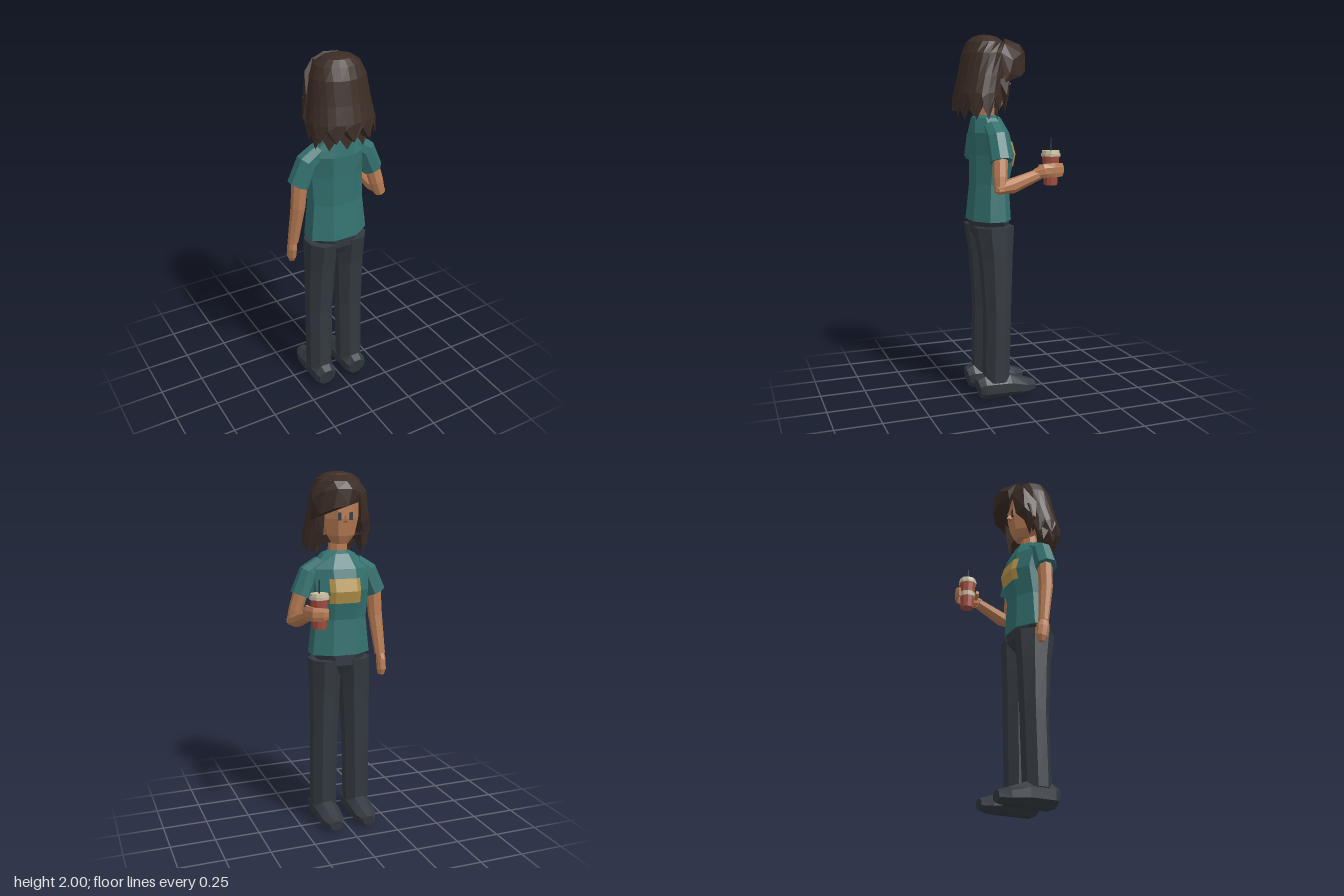
import * as THREE from 'three';
import { ConvexGeometry } from 'three/addons/geometries/ConvexGeometry.js';

const V = (x, y, z) => new THREE.Vector3(x, y, z);
const CX = -0.012; // body centre line

// Skin a list of point rows; optional wrap-around and end caps
function skin(rows, closed = true, caps = true) {
  const out = [], n = rows[0].length;
  const tri = (...ps) => ps.forEach((p) => out.push(p.x, p.y, p.z));
  for (let i = 0; i < rows.length - 1; i++) {
    for (let j = 0; j < (closed ? n : n - 1); j++) {
      const k = (j + 1) % n, a = rows[i], b = rows[i + 1];
      tri(a[j], a[k], b[k]);
      tri(a[j], b[k], b[j]);
    }
  }
  if (caps) {
    const lo = rows[0], hi = rows[rows.length - 1];
    for (let j = 1; j < n - 1; j++) {
      tri(lo[0], lo[j + 1], lo[j]);
      tri(hi[0], hi[j], hi[j + 1]);
    }
  }
  const g = new THREE.BufferGeometry();
  g.setAttribute('position', new THREE.Float32BufferAttribute(out, 3));
  g.computeVertexNormals();
  return g;
}

// Horizontal octagonal sections, bottom to top: [y, centreX, halfWidth, zFront, zBack]
function body(rows, n = 8) {
  const k = 1 / Math.cos(Math.PI / n);
  return skin(rows.map(([y, cx, rx, zf, zb]) => Array.from({ length: n }, (_, j) => {
    const a = ((j + 0.5) / n) * Math.PI * 2;
    return V(cx + rx * k * Math.sin(a), y, (zf + zb) / 2 + ((zb - zf) / 2) * k * Math.cos(a));
  })));
}

// Sections across a path: [x, y, z, radius along ref, radius across]
function limb(pts, ref, n = 8) {
  const c = pts.map((p) => V(p[0], p[1], p[2]));
  const k = 1 / Math.cos(Math.PI / n);
  return skin(pts.map((p, i) => {
    const d = c[Math.min(i + 1, c.length - 1)].clone().sub(c[Math.max(i - 1, 0)]).normalize();
    const u = ref.clone().addScaledVector(d, -ref.dot(d)).normalize();
    const v = d.clone().cross(u);
    return Array.from({ length: n }, (_, j) => {
      const a = ((j + 0.5) / n) * Math.PI * 2;
      return c[i].clone().addScaledVector(u, p[3] * k * Math.cos(a)).addScaledVector(v, p[4] * k * Math.sin(a));
    });
  }));
}

// Hair curtain with an open front and zigzag hem: [y, halfWidth, zFront, zBack, halfSweep, zigzag]
function curtain(rows, n, caps) {
  return skin(rows.map(([y, rx, zf, zb, sweep, zig = 0]) => Array.from({ length: n + 1 }, (_, j) => {
    const a = (j / n * 2 - 1) * sweep;
    return V(CX + rx * Math.sin(a), y + (j % 2 ? -zig : zig), (zf + zb) / 2 + ((zb - zf) / 2) * Math.cos(a));
  })), false, caps);
}

function faceted(g) {
  const f = g.index ? g.toNonIndexed() : g;
  f.computeVertexNormals();
  return f;
}

export function createModel() {
  const model = new THREE.Group();
  const mat = (name, color, side = THREE.FrontSide) => {
    const m = new THREE.MeshStandardMaterial({ color, side });
    m.name = name;
    return m;
  };
  const skinTone = mat('skin', 0xb97d55);
  const shirt = mat('teal shirt', 0x33716f);
  const trousers = mat('dark trousers', 0x333940);
  const hair = mat('brown hair', 0x3b2c25, THREE.DoubleSide);
  const red = mat('red cup', 0xa34d40);
  const cream = mat('cream lid', 0xc8bda0);
  const yellow = mat('yellow print', 0xb3924a, THREE.DoubleSide);
  const dark = mat('dark detail', 0x2c343c);
  const add = (name, geometry, material) => {
    const m = new THREE.Mesh(geometry, material);
    m.name = name;
    model.add(m);
    return m;
  };
  const X = V(1, 0, 0), Y = V(0, 1, 0), Z = V(0, 0, 1);

  // Legs and shoes
  for (const s of [-1, 1]) {
    const side = s < 0 ? 'right' : 'left';
    const at = (d) => CX + s * d;
    add(side + 'Leg', body([
      [0.1, at(0.102), 0.07, 0, 0.14], [0.5, at(0.097), 0.073, -0.01, 0.135],
      [0.8, at(0.09), 0.08, -0.02, 0.155], [0.97, at(0.086), 0.086, -0.03, 0.185],
    ]), trousers);
    add(side + 'Shoe', limb([
      [at(0.102), 0.06, 0.175, 0.052, 0.052], [at(0.102), 0.066, 0.145, 0.065, 0.065],
      [at(0.102), 0.064, 0, 0.062, 0.068], [at(0.1), 0.046, -0.1, 0.043, 0.061],
      [at(0.1), 0.042, -0.158, 0.028, 0.035],
    ], Y), trousers);
  }
  add('hips', body([
    [0.88, CX, 0.03, 0.01, 0.14], [0.94, CX, 0.11, -0.025, 0.175], [1.01, CX, 0.155, -0.025, 0.18],
  ]), trousers);

  // Shirt body and chest print
  add('shirtBody', body([
    [1.0, CX, 0.168, -0.03, 0.19], [1.2, CX, 0.148, -0.02, 0.17], [1.36, CX, 0.152, -0.055, 0.17],
    [1.48, CX, 0.16, -0.02, 0.175], [1.56, CX, 0.09, 0.02, 0.165], [1.575, CX, 0.06, 0.04, 0.14],
  ]), shirt);
  add('chestPrint', skin([[1.295, -0.046], [1.36, -0.06], [1.43, -0.04]].map(([y, z]) =>
    [-0.09, -0.062, 0.062, 0.09].map((x) => V(CX - x, y, z + Math.max(0, Math.abs(x) - 0.062) * 0.72))),
  false, false), yellow);

  // Sleeves
  for (const s of [-1, 1]) {
    add(s < 0 ? 'rightSleeve' : 'leftSleeve', limb([
      [CX + s * 0.1, 1.505, 0.085, 0.05, 0.045], [CX + s * 0.17, 1.455, 0.085, 0.055, 0.055],
      [CX + s * 0.222, 1.333, 0.082, 0.058, 0.055],
    ], Z), shirt);
  }

  // Hanging arm
  add('hangingArm', limb([
    [-0.222, 1.37, 0.078, 0.04, 0.04], [-0.235, 1.2, 0.075, 0.036, 0.037], [-0.255, 0.975, 0.045, 0.026, 0.028],
  ], Z), skinTone);
  add('hangingHand', limb([
    [-0.255, 0.99, 0.046, 0.022, 0.022], [-0.26, 0.94, 0.04, 0.034, 0.024],
    [-0.259, 0.885, 0.032, 0.03, 0.024], [-0.256, 0.855, 0.03, 0.016, 0.016],
  ], Z), skinTone);
  add('hangingThumb', limb([
    [-0.252, 0.95, 0.018, 0.012, 0.012], [-0.247, 0.895, 0.008, 0.009, 0.009],
  ], X, 6), skinTone);

  // Bent arm holding the cup
  add('bentUpperArm', limb([
    [0.2, 1.38, 0.086, 0.038, 0.038], [0.235, 1.25, 0.098, 0.036, 0.037], [0.257, 1.175, 0.105, 0.027, 0.028],
  ], Z), skinTone);
  add('bentForearm', limb([
    [0.258, 1.188, 0.125, 0.022, 0.024], [0.245, 1.205, 0.04, 0.038, 0.038], [0.226, 1.262, -0.125, 0.028, 0.029],
  ], Y), skinTone);
  add('grippingHand', limb([
    [0.228, 1.265, -0.105, 0.026, 0.024], [0.25, 1.28, -0.15, 0.038, 0.02], [0.264, 1.284, -0.2, 0.038, 0.013],
    [0.246, 1.284, -0.25, 0.036, 0.012], [0.2, 1.284, -0.27, 0.033, 0.011], [0.172, 1.284, -0.264, 0.028, 0.008],
  ], Y), skinTone);
  add('grippingThumb', limb([
    [0.238, 1.29, -0.135, 0.018, 0.014], [0.2, 1.298, -0.145, 0.014, 0.012], [0.168, 1.3, -0.155, 0.01, 0.009],
  ], Y, 6), skinTone);

  // Cup, label band, lid and straw
  const cupPart = (name, top, bottom, y0, y1, m, n = 10) => {
    const g = faceted(new THREE.CylinderGeometry(top, bottom, y1 - y0, n));
    add(name, g, m).position.set(0.2, (y0 + y1) / 2, -0.205);
  };
  cupPart('cup', 0.048, 0.037, 1.2, 1.36, red);
  cupPart('cupBand', 0.0455, 0.044, 1.27, 1.298, cream);
  cupPart('lidRim', 0.053, 0.053, 1.355, 1.37, cream);
  cupPart('lidTop', 0.047, 0.05, 1.37, 1.386, cream);
  cupPart('straw', 0.004, 0.004, 1.38, 1.455, dark, 6);

  // Neck, head and face
  add('neck', body([[1.52, CX, 0.052, 0.05, 0.145], [1.67, CX, 0.047, 0.045, 0.135]]), skinTone);
  add('head', body([
    [1.615, CX, 0.042, 0.01, 0.1], [1.66, CX, 0.078, -0.012, 0.15], [1.75, CX, 0.1, -0.03, 0.19],
    [1.85, CX, 0.105, -0.032, 0.195], [1.94, CX, 0.075, 0.0, 0.16],
  ]), skinTone);
  add('nose', new ConvexGeometry([
    V(CX, 1.775, -0.03), V(CX - 0.015, 1.735, -0.026), V(CX + 0.015, 1.735, -0.026),
    V(CX, 1.742, -0.057), V(CX, 1.73, -0.026),
  ]), skinTone);
  for (const s of [-1, 1]) {
    add('eye', new THREE.BoxGeometry(0.02, 0.042, 0.008), dark).position.set(CX + s * 0.033, 1.765, -0.031);
  }

  // Hair: two layered curtains, a swept fringe and side locks
  add('outerHair', curtain([
    [1.63, 0.19, 0.0, 0.272, 2.3, 0.035], [1.69, 0.184, 0.0, 0.267, 2.3], [1.78, 0.168, -0.01, 0.245, 2.35],
    [1.9, 0.15, -0.02, 0.222, 2.6], [1.96, 0.122, -0.01, 0.198, Math.PI], [1.99, 0.08, 0.03, 0.165, Math.PI],
    [2.0, 0.035, 0.07, 0.13, Math.PI],
  ], 18, true), hair);
  add('innerHair', curtain([
    [1.585, 0.17, 0.03, 0.245, 2.2, 0.035], [1.67, 0.165, 0.02, 0.24, 2.25], [1.8, 0.145, 0.0, 0.22, 2.3],
  ], 15, false), hair);
  const lock = (name, pts) => add(name, new ConvexGeometry(pts.map((p) => V(...p))), hair);
  lock('fringe', [
    [-0.09, 1.95, -0.03], [-0.03, 1.982, -0.02], [0.04, 1.982, 0.0], [0.12, 1.95, 0.03], [0.15, 1.9, 0.06],
    [-0.08, 1.89, -0.082], [-0.02, 1.91, -0.112], [0.06, 1.91, -0.108], [0.12, 1.9, -0.065], [0.168, 1.86, 0.0],
    [-0.07, 1.84, -0.07], [0.0, 1.825, -0.112], [0.08, 1.81, -0.103], [0.14, 1.78, -0.055], [0.172, 1.79, 0.02],
    [0.165, 1.745, 0.045], [0.0, 1.95, -0.085], [0.07, 1.95, -0.075],
  ]);
  lock('rightSideHair', [
    [-0.085, 1.96, -0.025], [-0.085, 1.87, -0.06], [-0.14, 1.9, -0.01], [-0.1, 1.73, -0.04],
    [-0.155, 1.75, -0.012], [-0.182, 1.68, 0.05], [-0.17, 1.8, 0.06], [-0.12, 1.72, 0.04], [-0.15, 1.64, 0.03],
  ]);
  for (const s of [-1, 1]) {
    lock('hangingLock', [
      [CX + s * 0.11, 1.78, -0.01], [CX + s * 0.155, 1.78, 0.01], [CX + s * 0.15, 1.76, 0.07],
      [CX + s * 0.115, 1.68, 0.0], [CX + s * 0.165, 1.68, 0.03], [CX + s * 0.13, 1.58, 0.03],
    ]);
  }
  return model;
}
